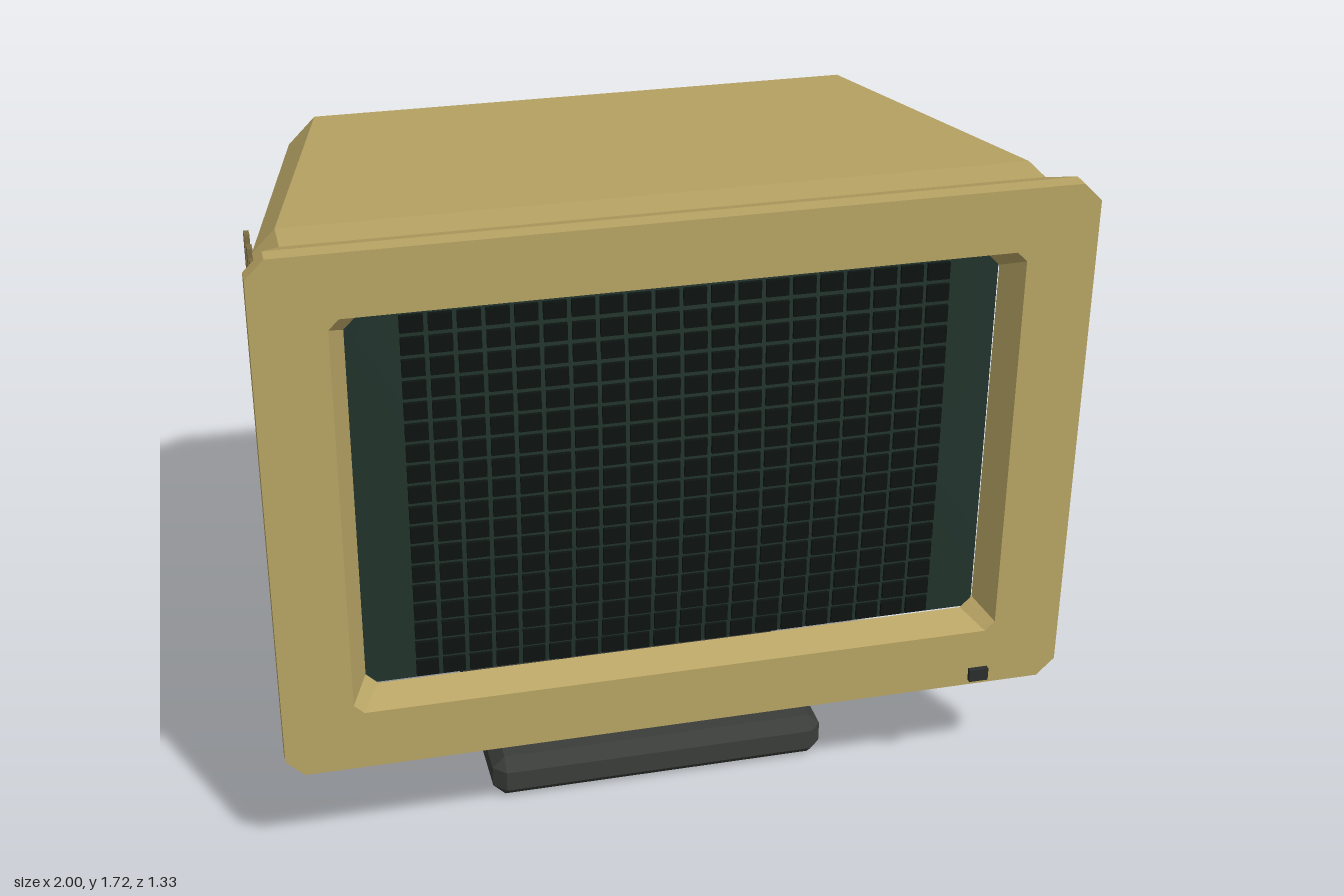
import * as THREE from 'three';
import { ConvexGeometry } from 'three/addons/geometries/ConvexGeometry.js';

const mat = (color, extra = {}) => new THREE.MeshStandardMaterial({ color, ...extra });

// Chamfered-rectangle cross-section: [z, half width, bottom, top, chamfer], counter-clockwise from +z
function ring([z, w, b, t, c]) {
  return [[-w + c, b], [w - c, b], [w, b + c], [w, t - c], [w - c, t], [-w + c, t], [-w, t - c], [-w, b + c]]
    .map(([x, y]) => [x, y, z]);
}

// Faceted skin through successive cross-sections
function loft(sections) {
  const rings = sections.map(ring), pos = [];
  for (let r = 0; r < rings.length - 1; r++) {
    for (let i = 0; i < 8; i++) {
      const j = (i + 1) % 8, a = rings[r], b = rings[r + 1];
      pos.push(...a[i], ...a[j], ...b[j], ...a[i], ...b[j], ...b[i]);
    }
  }
  const g = new THREE.BufferGeometry();
  g.setAttribute('position', new THREE.Float32BufferAttribute(pos, 3));
  g.computeVertexNormals();
  return g;
}

// Box with every edge chamfered by c
function chamferBox(w, h, d, c) {
  const pts = [];
  for (const sx of [-1, 1]) for (const sy of [-1, 1]) for (const sz of [-1, 1]) {
    const x = w / 2, y = h / 2, z = d / 2;
    pts.push(
      new THREE.Vector3(sx * x, sy * (y - c), sz * (z - c)),
      new THREE.Vector3(sx * (x - c), sy * y, sz * (z - c)),
      new THREE.Vector3(sx * (x - c), sy * (y - c), sz * z));
  }
  return new ConvexGeometry(pts);
}

export function createModel() {
  const model = new THREE.Group();
  const shell = mat(0xb8a464, { flatShading: true });
  const dark = mat(0x3a3d3a, { flatShading: true });
  const slotMat = mat(0x2a2e2c);
  const glass = mat(0x22332c);
  const cellMat = mat(0x0d1412);
  const sideSlotMat = mat(0x7d6d42);

  function add(name, geometry, material, x = 0, y = 0, z = 0, parent = model) {
    const m = new THREE.Mesh(geometry, material);
    m.name = name;
    m.position.set(x, y, z);
    parent.add(m);
    return m;
  }
  function group(name) {
    const g = new THREE.Group();
    g.name = name;
    model.add(g);
    return g;
  }

  // Housing: back cap, tapered case, front bezel, then the sloped screen recess
  add('housing', loft([
    [-0.63, 0, 1.045, 1.045, 0],
    [-0.63, 0.74, 0.54, 1.55, 0.083],
    [-0.54, 0.795, 0.49, 1.6, 0.072],
    [0.385, 0.965, 0.36, 1.685, 0.055],
    [0.49, 0.965, 0.36, 1.685, 0.055],
    [0.575, 1, 0.335, 1.715, 0.046],
    [0.62, 1, 0.335, 1.715, 0.046],
    [0.62, 0.825, 0.495, 1.555, 0.025],
    [0.55, 0.785, 0.53, 1.525, 0.03],
  ]), shell);

  // Gently bulging screen
  const midY = 1.0275;
  const bulge = (x, y) => 0.545 + 0.035 * (1 - (x / 0.785) ** 2) * (1 - (y / 0.4975) ** 2);
  const screen = new THREE.PlaneGeometry(1.57, 0.995, 24, 16);
  const p = screen.attributes.position;
  for (let i = 0; i < p.count; i++) p.setZ(i, bulge(p.getX(i), p.getY(i)));
  screen.computeVertexNormals();
  add('screen', screen, glass, 0, midY, 0);

  // Grid of dark cells on the glass
  const cells = group('screenCells');
  const cols = 20, rows = 18, dx = 0.0665, dy = 0.055;
  const cell = new THREE.BoxGeometry(0.055, 0.043, 0.01);
  for (let c = 0; c < cols; c++) for (let r = 0; r < rows; r++) {
    const x = (c - (cols - 1) / 2) * dx, y = (r - (rows - 1) / 2) * dy;
    add('screenCell', cell, cellMat, x, midY + y, bulge(x, y) + 0.005, cells);
  }

  // Indicator light
  add('indicatorLight', new THREE.BoxGeometry(0.05, 0.034, 0.014), slotMat, 0.775, 0.39, 0.657);

  // Rear vent panel with upright slots
  const vent = group('rearVent');
  add('ventPanel', chamferBox(1.08, 0.69, 0.032, 0.012), shell, 0, 1.025, -0.642, vent);
  const slot = new THREE.BoxGeometry(0.026, 0.51, 0.012);
  for (let i = 0; i < 12; i++) add('ventSlot', slot, slotMat, (i - 5.5) * 0.08, 1.025, -0.658, vent);

  // Slots along the right side
  const sideVent = group('sideVent');
  const sideSlot = new THREE.BoxGeometry(0.014, 0.19, 0.032);
  for (let i = 0; i < 6; i++) add('sideSlot', sideSlot, sideSlotMat, -0.945, 1.345, -0.18 + i * 0.088, sideVent);

  // Stand
  add('standBase', chamferBox(0.9, 0.12, 0.6, 0.032), dark, 0, 0.06, 0.1);
  add('standNeck', chamferBox(0.38, 0.18, 0.256, 0.032), dark, 0, 0.19, 0.036);

  return model;
}
